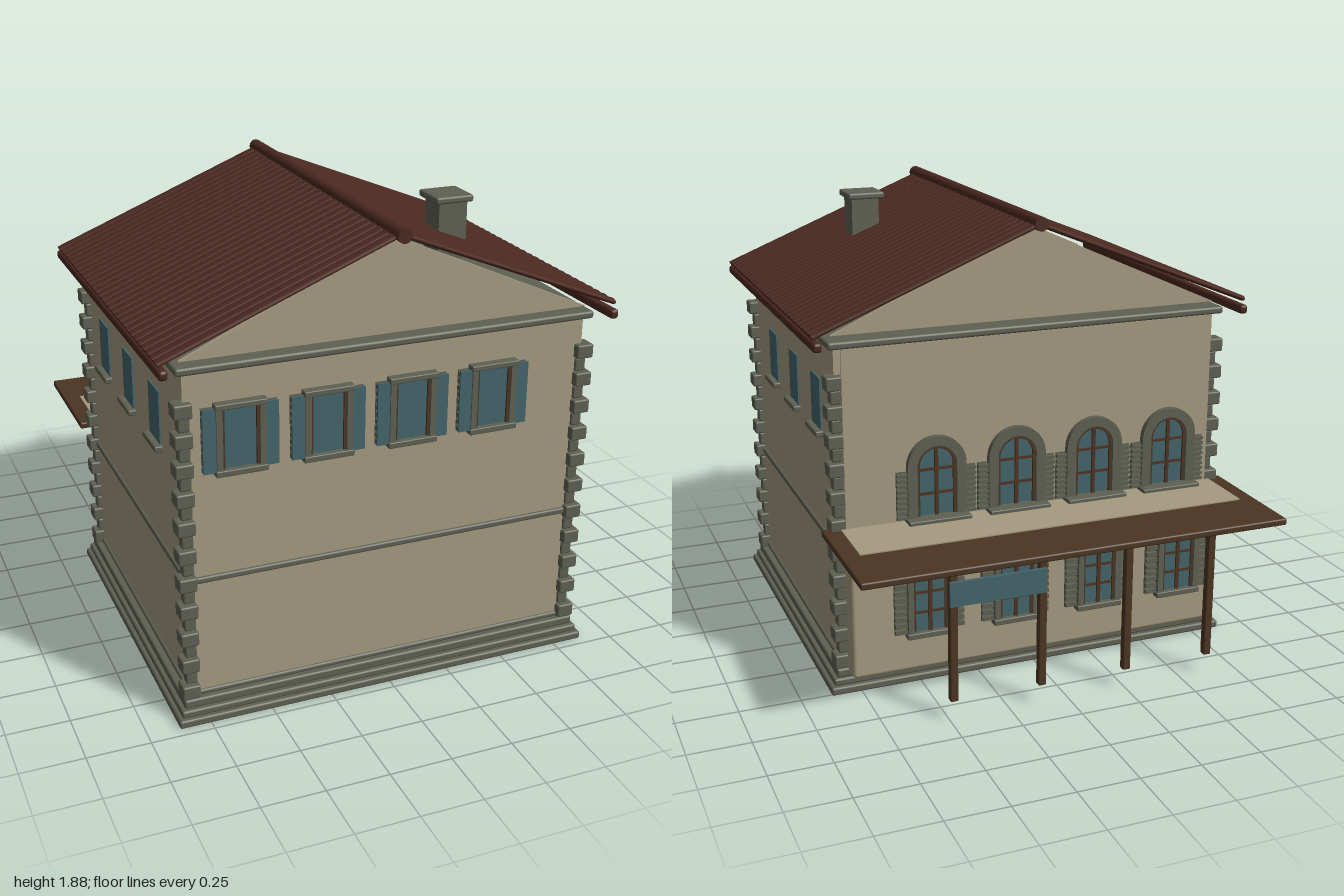
import * as THREE from 'three';
import { RoundedBoxGeometry } from 'three/addons/geometries/RoundedBoxGeometry.js';

const mat = (name, color) => {
  const m = new THREE.MeshStandardMaterial({ color });
  m.name = name;
  return m;
};

export function createModel() {
  const plaster = mat('plaster', 0xa59b80);
  const stone = mat('stone', 0x5f6053);
  const tile = mat('roofTile', 0x4a281f);
  const wood = mat('wood', 0x4c3523);
  const teal = mat('tealPaint', 0x44656c);

  const house = new THREE.Group();
  house.name = 'house';

  const add = (parent, name, geo, m) => {
    const mesh = new THREE.Mesh(geo, m);
    mesh.name = name;
    parent.add(mesh);
    return mesh;
  };
  // Box given by its lower and upper limits; r rounds the edges
  const box = (parent, name, m, x0, x1, y0, y1, z0, z1, r = 0) => {
    const w = x1 - x0, h = y1 - y0, d = z1 - z0;
    const geo = r ? new RoundedBoxGeometry(w, h, d, 2, r) : new THREE.BoxGeometry(w, h, d);
    const mesh = add(parent, name, geo, m);
    mesh.position.set((x0 + x1) / 2, (y0 + y1) / 2, (z0 + z1) / 2);
    return mesh;
  };
  const group = (name, x, y, z, turn = 0) => {
    const g = new THREE.Group();
    g.name = name;
    g.position.set(x, y, z);
    g.rotation.y = turn;
    house.add(g);
    return g;
  };

  // Stepped plinth, walls and mouldings
  [[0, 0.033, 0.875, 0.965, -0.515], [0.033, 0.063, 0.86, 0.95, -0.5],
    [0.063, 0.1, 0.845, 0.935, -0.49], [0.1, 0.122, 0.82, 0.915, -0.46]].forEach(([y0, y1, x, zf, zb]) =>
    box(house, 'plinthStep', stone, -x, x, y0, y1, zb, zf, 0.009));
  box(house, 'walls', plaster, -0.81, 0.81, 0.1, 1.44, -0.45, 0.905);
  box(house, 'backFacing', plaster, -0.79, 0.79, 0.1, 1.42, -0.489, -0.482);
  box(house, 'stringCourse', stone, -0.82, 0.82, 0.582, 0.608, -0.46, 0.917, 0.008);
  box(house, 'cornice', stone, -0.84, 0.84, 1.42, 1.45, -0.495, 0.935, 0.01);
  box(house, 'backLowerWall', plaster, -0.8, 0.8, 0.09, 0.64, -0.575, -0.48, 0.015);

  // Corner stones, large and small in turn
  for (const sx of [-1, 1]) {
    for (const [zc, sz] of [[0.935, 1], [-0.488, -1]]) {
      for (let i = 0; i < 21; i++) {
        const y = 0.13 + i * 0.05775, big = i % 2 === 0;
        const size = big ? 0.07 : 0.045, inset = big ? 0 : 0.02;
        const q = add(house, 'cornerStone', new RoundedBoxGeometry(size, 0.056, size, 2, 0.007), stone);
        q.position.set(sx * (0.85 - inset - size / 2), y, zc - sz * (inset + size / 2));
      }
    }
  }

  // Gable walls
  const gable = new THREE.Shape([[-0.815, 1.465], [0.815, 1.465], [0, 1.83]].map(p => new THREE.Vector2(...p)));
  for (const z of [0.885, -0.45]) {
    add(house, 'gable', new THREE.ExtrudeGeometry(gable, { depth: 0.02, bevelEnabled: false }), plaster).position.z = z;
  }

  // Roof slopes made of rolled tile rows, with gutters and ridge
  const rise = 0.365, run = 0.91, len = Math.hypot(rise, run), zMid = 0.2125, rows = 29, pitch = 1.505 / rows;
  const rowGeo = new THREE.CylinderGeometry(0.029, 0.029, len, 14).scale(0.38, 1, 1).rotateZ(Math.PI / 2);
  for (const turn of [0, Math.PI]) {
    const side = group('roofSide', 0, 0, zMid, turn);
    const slope = new THREE.Group();
    slope.name = 'roofSlope';
    slope.position.set(run / 2, 1.85 - rise / 2, 0);
    slope.rotation.z = -Math.atan2(rise, run);
    side.add(slope);
    for (let i = 0; i < rows; i++) {
      add(slope, 'tileRow', rowGeo, tile).position.z = (i - (rows - 1) / 2) * pitch;
    }
    box(side, 'gutter', tile, 0.875, 0.91, 1.43, 1.467, -0.765, 0.785, 0.012);
  }
  const ridge = add(house, 'ridge', new THREE.CylinderGeometry(0.028, 0.028, 1.54, 16).rotateX(Math.PI / 2), tile);
  ridge.position.set(0, 1.852, 0.22);

  // Chimney
  box(house, 'chimney', stone, 0.35, 0.47, 1.6, 1.835, 0.44, 0.56);
  box(house, 'chimneyCap', stone, 0.328, 0.488, 1.828, 1.856, 0.42, 0.58, 0.009);

  // Louvred shutter: slats, optionally behind a painted panel
  const shutter = (g, x0, x1, h, painted) => {
    const n = 9;
    box(g, 'shutterBack', stone, x0, x1, 0, h, 0, 0.008);
    for (let i = 0; i < n; i++) {
      const y = h * i / n;
      box(g, 'slat', stone, x0, x1, y + 0.004, y + h / n - 0.006, 0.004, 0.022);
    }
    if (painted) box(g, 'shutterPanel', teal, x0, x1, 0, h, 0.022, 0.03);
  };
  // Rectangular window with shutters, origin at the middle of the sill
  const squareWindow = (g, h, front) => {
    for (const s of [-1, 1]) {
      const a = s * 0.08, b = s * 0.145;
      shutter(g, Math.min(a, b), Math.max(a, b), h, front);
      box(g, 'jamb', stone, s * 0.083 - 0.012, s * 0.083 + 0.012, 0, h, 0, 0.036);
      box(g, 'casement', wood, s * 0.066 - 0.005, s * 0.066 + 0.005, 0, h, 0, 0.026);
    }
    box(g, 'glass', teal, -0.075, 0.075, 0, h, 0, 0.018);
    box(g, 'sill', stone, -0.1, 0.1, -0.016, 0.008, 0, 0.042, 0.004);
    box(g, 'lintel', stone, -0.1, 0.1, h - 0.006, h + 0.016, 0, 0.042, 0.004);
    if (!front) {
      box(g, 'mullion', wood, -0.008, 0.008, 0, h, 0, 0.026);
      for (const f of [0.36, 0.7]) box(g, 'glazingBar', wood, -0.07, 0.07, h * f - 0.005, h * f + 0.005, 0, 0.024);
    }
  };

  // Arched outline standing on y = 0
  const archPath = (P, r, h) => {
    const p = new P();
    p.moveTo(-r, 0);
    p.lineTo(r, 0);
    p.lineTo(r, h);
    p.absarc(0, h, r, 0, Math.PI, false);
    p.lineTo(-r, 0);
    return p;
  };
  const frameShape = archPath(THREE.Shape, 0.122, 0.215);
  frameShape.holes.push(archPath(THREE.Path, 0.082, 0.215));
  const outerGeo = new THREE.ExtrudeGeometry(frameShape, { depth: 0.028, bevelEnabled: false, curveSegments: 16 });
  const woodShape = archPath(THREE.Shape, 0.083, 0.215);
  woodShape.holes.push(archPath(THREE.Path, 0.07, 0.215));
  const innerGeo = new THREE.ExtrudeGeometry(woodShape, { depth: 0.018, bevelEnabled: false, curveSegments: 16 });
  const glassGeo = new THREE.ExtrudeGeometry(archPath(THREE.Shape, 0.078, 0.215), { depth: 0.008, bevelEnabled: false, curveSegments: 16 });

  // Upper windows on the front and arched ones on the back
  for (const x of [-0.6, -0.26, 0.08, 0.42]) {
    squareWindow(group('frontWindow', x, 1.03, 0.9), 0.25, true);

    const g = group('archedWindow', x, 0.705, -0.486, Math.PI);
    add(g, 'archFrame', outerGeo, stone);
    add(g, 'archCasement', innerGeo, wood);
    add(g, 'archGlass', glassGeo, teal);
    box(g, 'mullion', wood, -0.007, 0.007, 0, 0.29, 0, 0.018);
    for (const y of [0.1, 0.2]) box(g, 'glazingBar', wood, -0.075, 0.075, y - 0.005, y + 0.005, 0, 0.016);
    shutter(g, -0.165, -0.118, 0.2, false);
    shutter(g, 0.118, 0.165, 0.2, false);
    box(g, 'archSill', stone, -0.13, 0.13, -0.012, 0.008, 0, 0.07, 0.004);
  }

  // Lower back windows and the porch posts in line with them
  for (const x of [0.485, 0.118, -0.25, -0.617]) {
    squareWindow(group('backWindow', x, 0.256, -0.574, Math.PI), 0.25, false);
    box(house, 'porchPost', wood, x - 0.016, x + 0.016, 0.085, 0.675, -0.878, -0.846, 0.005);
  }

  // Plain windows on both sides
  for (const s of [-1, 1]) {
    for (const z of [0.555, 0.185, -0.18]) {
      const g = group('sideWindow', s * 0.808, 1.03, z, s * Math.PI / 2);
      box(g, 'sideGlass', teal, -0.069, 0.069, 0, 0.217, 0, 0.009);
      box(g, 'sideSill', stone, -0.087, 0.087, -0.02, 0.004, 0, 0.035, 0.006);
    }
  }

  // Porch roof, its terrace floor and the hanging board
  box(house, 'porchRoof', wood, -0.88, 0.88, 0.665, 0.693, -1, -0.45, 0.007);
  box(house, 'terraceFloor', plaster, -0.81, 0.81, 0.69, 0.698, -0.75, -0.48);
  box(house, 'hangingBoard', teal, 0.11, 0.505, 0.49, 0.59, -0.892, -0.878);

  return house;
}
